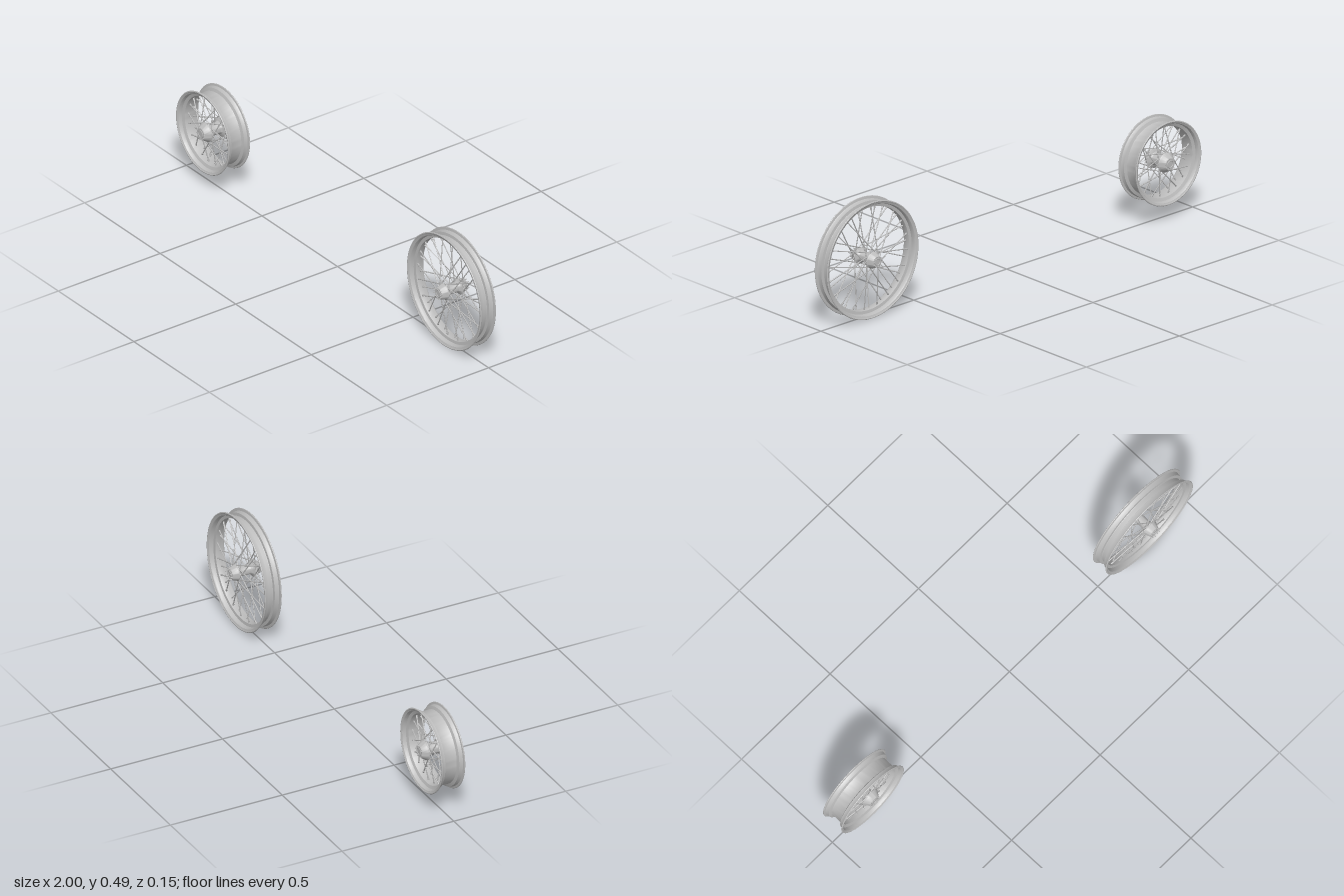
import * as THREE from 'three';
import { toCreasedNormals } from 'three/addons/utils/BufferGeometryUtils.js';

const metal = new THREE.MeshStandardMaterial({ color: 0xbdbdbd });
metal.name = 'grey metal';

function add(group, geometry, name) {
  const mesh = new THREE.Mesh(geometry, metal);
  mesh.name = name;
  group.add(mesh);
  return mesh;
}

// Revolves [radius, z] points about the wheel axis
function revolve(points, segments) {
  const g = new THREE.LatheGeometry(points.map(([r, z]) => new THREE.Vector2(r, z)), segments);
  g.rotateX(Math.PI / 2);
  return toCreasedNormals(g, 0.6);
}

// Mirrors a half profile that runs from the z > 0 end toward z = 0
function mirrored(half) {
  return [...half.map(([r, z]) => [r, -z]), ...half.slice().reverse()];
}

function rod(group, from, to, radius, name, sides = 6) {
  const dir = to.clone().sub(from);
  const mesh = add(group, new THREE.CylinderGeometry(radius, radius, dir.length(), sides), name);
  mesh.position.copy(from).add(to).multiplyScalar(0.5);
  mesh.quaternion.setFromUnitVectors(new THREE.Vector3(0, 1, 0), dir.normalize());
}

const polar = (r, a, z) => new THREE.Vector3(r * Math.cos(a), r * Math.sin(a), z);

function makeWheel(p) {
  const wheel = new THREE.Group();
  const { R, width: w, seat, well, seatZ, wellZ, hub } = p;
  const t = 0.004;

  // Drop-centre rim with rolled edges
  const outer = mirrored([
    [R - 0.004, w], [R - 0.001, w - 0.001], [R, w - 0.003], [R - 0.001, w - 0.005],
    [R - 0.005, w - 0.006], [seat + 0.002, w - 0.007], [seat, w - 0.01],
    [seat - 0.001, seatZ], [well + 0.001, wellZ], [well, wellZ - 0.002],
  ]);
  const inner = mirrored([
    [R - 0.004, w], [R - 0.007, w - 0.002], [seat - 0.001, w - 0.004], [seat - t, w - 0.009],
    [seat - t - 0.001, seatZ + 0.003], [well - t + 0.001, wellZ + 0.003], [well - t, wellZ],
  ]).reverse();
  add(wheel, revolve([...outer, ...inner], 96), 'rim');

  // Hub: tapered ends, spoke flanges and a narrow barrel
  const { flangeR, flangeZ, endR, endZ, barrelR } = hub;
  const hubHalf = [
    [0.0001, endZ], [endR - 0.003, endZ], [endR, endZ - 0.003], [flangeR - 0.002, flangeZ + 0.004],
    [flangeR, flangeZ + 0.002], [flangeR, flangeZ - 0.002], [flangeR - 0.003, flangeZ - 0.004],
    [barrelR + 0.004, flangeZ - 0.008], [barrelR, flangeZ - 0.014],
  ];
  add(wheel, revolve(mirrored(hubHalf), 40), 'hub');

  for (const side of [1, -1]) {
    // Axle collar on each end
    const collar = add(wheel, new THREE.TorusGeometry(endR * 0.55, 0.002, 8, 28), 'bearingCollar');
    collar.position.z = side * endZ;
    // Ring of bolts
    for (let i = 0; i < p.bolts; i++) {
      const a = (i + 0.25) / p.bolts * Math.PI * 2;
      rod(wheel, polar(endR - 0.003, a, side * (endZ - 0.002)),
        polar(endR - 0.003, a, side * p.boltZ), 0.0022, 'bolt', 8);
    }
  }

  // Crossed spokes, alternating sides and lean, with nipples at the rim
  for (let k = 0; k < p.spokes; k++) {
    const a = (k + 0.5) / p.spokes * Math.PI * 2;
    const side = k % 2 ? 1 : -1;
    const lean = Math.floor(k / 2) % 2 ? 1 : -1;
    const start = polar(flangeR - 0.003, a + lean * p.twist, side * flangeZ);
    const end = polar(well - 0.002, a, side * wellZ * 0.45);
    rod(wheel, start, end, 0.0023, 'spoke');
    const nippleStart = end.clone().lerp(start, 0.014 / end.distanceTo(start));
    rod(wheel, nippleStart, end, 0.0036, 'spokeNipple');
  }
  return wheel;
}

export function createModel() {
  const model = new THREE.Group();

  const large = makeWheel({
    R: 0.246, width: 0.038, seat: 0.233, well: 0.219, seatZ: 0.013, wellZ: 0.011,
    hub: { flangeR: 0.034, flangeZ: 0.036, endR: 0.025, endZ: 0.064, barrelR: 0.02 },
    bolts: 10, boltZ: 0.073, spokes: 40, twist: 1.15,
  });
  large.name = 'largeWheel';
  large.position.set(0.754, 0.246, 0);

  const small = makeWheel({
    R: 0.176, width: 0.053, seat: 0.165, well: 0.151, seatZ: 0.031, wellZ: 0.026,
    hub: { flangeR: 0.041, flangeZ: 0.035, endR: 0.027, endZ: 0.061, barrelR: 0.024 },
    bolts: 10, boltZ: 0.064, spokes: 40, twist: 1.2,
  });
  small.name = 'smallWheel';
  small.position.set(-0.824, 0.244, 0);

  model.add(large, small);
  return model;
}
